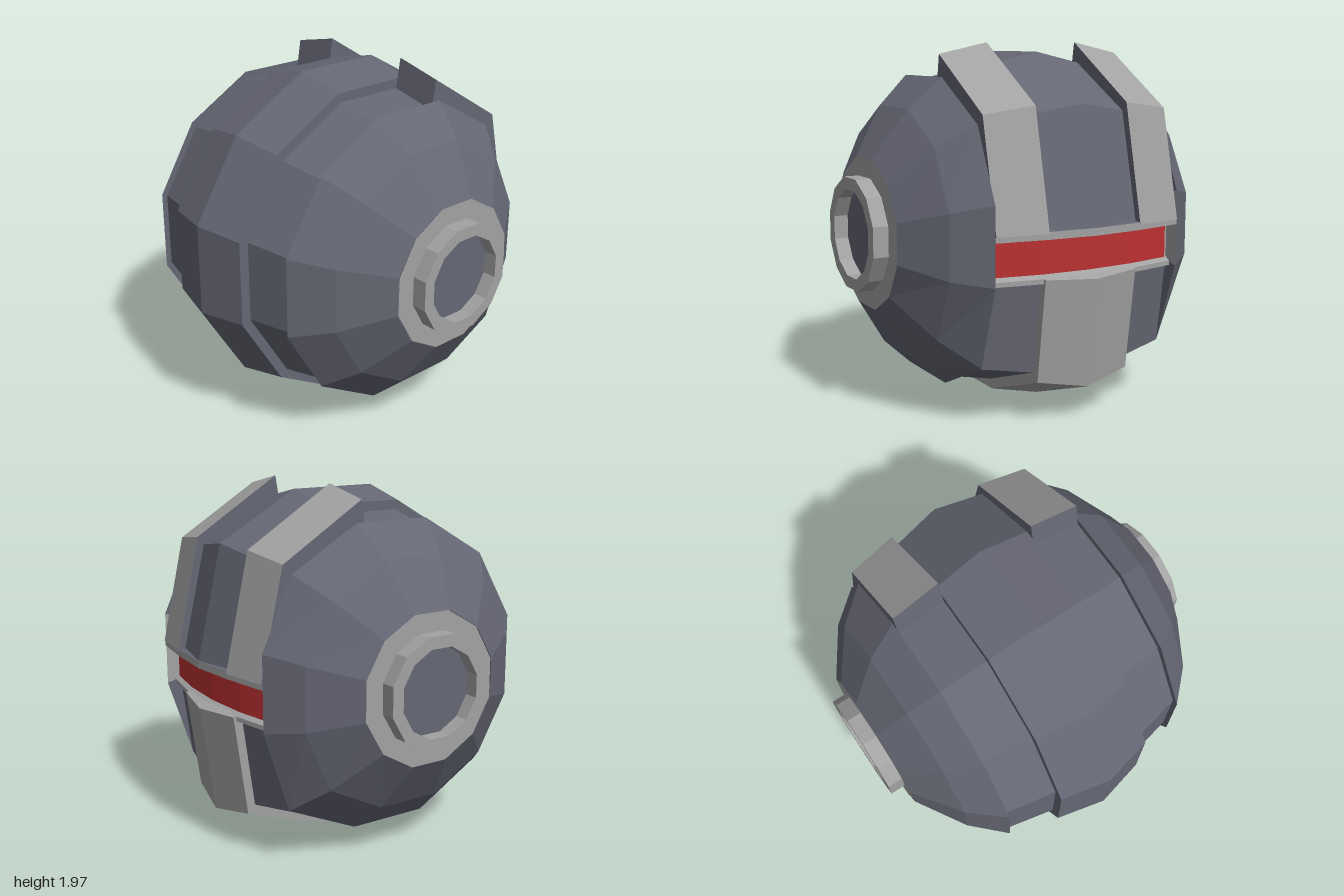
import * as THREE from 'three';

const CZ = -0.06, CY = 0.965; // axis of the round body

// Outline of the centre band [z, y], from the brow over the top and front to the chin
const OUTLINE = [
  [-0.92, 1.02], [-0.77, 1.66], [-0.31, 1.92], [0.2, 1.92], [0.65, 1.66], [0.92, 1.22],
  [0.92, 0.71], [0.65, 0.26], [0.2, 0], [-0.06, 0], [-0.33, 0], [-0.84, 0.18], [-0.92, 0.775],
];
const SIDE_OUTLINE = OUTLINE.filter((p, i) => i !== 9);
SIDE_OUTLINE[0] = [-0.92, 1.22];

const at = (x, pts) => pts.map(([z, y]) => [x, y, z]);

// Outline shrunk towards the axis
const ring = (x, s, table = OUTLINE) =>
  at(x, table.map(([z, y]) => [CZ + s * (z - CZ), CY + s * (y - CY)]));

// Regular twelve-sided ring, blended by k towards the flatter-backed outline
function sideRing(x, r, k) {
  return ring(x, r, SIDE_OUTLINE).map(([px, y, z], i) => {
    const a = THREE.MathUtils.degToRad(165 - 30 * i);
    return [
      px,
      THREE.MathUtils.lerp(CY + r * Math.sin(a), y, k),
      THREE.MathUtils.lerp(CZ + r * Math.cos(a), z, k),
    ];
  });
}

// Faceted skin through rows ordered from -x to +x; pick(row, segment) gives the material index
function skin(name, rows, materials, pick = () => 0, closed = false) {
  const buckets = materials.map(() => []);
  const n = rows[0].length;
  for (let r = 0; r < rows.length - 1; r++) {
    for (let j = 0; j < (closed ? n : n - 1); j++) {
      const k = (j + 1) % n, a = rows[r], b = rows[r + 1];
      buckets[pick(r, j)].push(...a[j], ...a[k], ...b[j], ...b[j], ...a[k], ...b[k]);
    }
  }
  const g = new THREE.BufferGeometry();
  g.setAttribute('position', new THREE.Float32BufferAttribute(buckets.flat(), 3));
  let start = 0;
  buckets.forEach((b, i) => {
    g.addGroup(start, b.length / 3, i);
    start += b.length / 3;
  });
  g.computeVertexNormals();
  const mesh = new THREE.Mesh(g, materials);
  mesh.name = name;
  return mesh;
}

// Mirror rows to the -x side, keeping them ordered from -x to +x
const mirror = (rows) => rows.map((row) => row.map(([x, y, z]) => [-x, y, z])).reverse();

function material(name, color) {
  const m = new THREE.MeshStandardMaterial({ color, flatShading: true, side: THREE.DoubleSide });
  m.name = name;
  return m;
}

export function createModel() {
  const model = new THREE.Group();
  model.name = 'roundHelmet';
  const dark = material('slate', 0x656774);
  const grey = material('grey', 0xa2a2a2);
  const red = material('red', 0xbb3032);
  const both = [dark, grey];

  // Recessed core, grey where it frames the visor
  const core = [[-0.56, 0.82], [-0.28, 0.88], [0, 0.9], [0.28, 0.88], [0.56, 0.82]];
  model.add(skin('core', core.map(([x, s]) => ring(x, s)), both, (r, j) => (j === 12 ? 1 : 0), true));

  // Raised centre band, grey at the chin
  const band = [[-0.28, 0.87], [-0.28, 0.935], [0, 1], [0.28, 0.935], [0.28, 0.87]];
  model.add(skin('centreBand', band.map(([x, s]) => ring(x, s)), both,
    (r, j) => (j >= 10 || (j === 9 && (r === 0 || r === 3)) ? 1 : 0)));

  // Sloping top of the chin
  model.add(skin('chinTop', [[-0.28, -0.864, 0.787], [0, -0.92, 0.775], [0.28, -0.864, 0.787]]
    .map(([x, z, y]) => at(x, [[z, y], [-0.8, 0.81]])), [grey]));

  // Visor, sill below it and brow lip above it
  model.add(skin('visor', [[-0.54, -0.778], [-0.28, -0.825], [0, -0.842], [0.28, -0.825], [0.54, -0.778]]
    .map(([x, z]) => at(x, [[z, 0.81], [z, 1.0]])), [red]));
  model.add(skin('sill', [[-0.56, -0.765], [-0.28, -0.817], [0, -0.834], [0.28, -0.817], [0.56, -0.765]]
    .map(([x, z]) => at(x, [[z, 0.765], [z - 0.03, 0.765], [z - 0.03, 0.79], [z, 0.81]])), [grey]));
  model.add(skin('browLip', [[-0.56, -0.85], [-0.28, -0.895], [0, -0.92], [0.28, -0.895], [0.56, -0.85]]
    .map(([x, z]) => at(x, [[z + 0.1, 1.0], [z, 1.0], [z, 1.04], [z + 0.1, 1.05]])), both,
    (r, j) => (j === 1 ? 1 : 0)));

  // Straps running over the crown down to the brow
  const strap = [
    at(0.28, [[-0.8, 1.03], [-0.68, 1.57], [-0.3, 1.79], [-0.23, 1.79]]),
    at(0.28, [[-0.9, 1.03], [-0.76, 1.66], [-0.26, 1.97], [-0.23, 1.79]]),
    at(0.56, [[-0.855, 1.03], [-0.72, 1.62], [-0.25, 1.91], [-0.22, 1.73]]),
    at(0.56, [[-0.75, 1.03], [-0.64, 1.53], [-0.28, 1.73], [-0.22, 1.73]]),
  ];
  const strapColour = (r, j) => (r === 1 && j < 2 ? 1 : 0);
  model.add(skin('leftStrap', strap, both, strapColour));
  model.add(skin('rightStrap', mirror(strap), both, strapColour));

  // Domed sides with a step down to the core
  const dome = [sideRing(0.56, 0.76, 0.5), sideRing(0.56, 0.86, 0.5),
    sideRing(0.74, 0.69, 0.25), sideRing(0.915, 0.415, 0)];
  model.add(skin('leftDome', dome, both, (r, j) => (r === 0 && j === 11 ? 1 : 0), true));
  model.add(skin('rightDome', mirror(dome), both, (r, j) => (r === 2 && j === 11 ? 1 : 0), true));

  // Ear hubs: flat collar, raised ring and recessed disc
  const profile = [[0.415, 0.915], [0.31, 0.915], [0.31, 1], [0.243, 1], [0.243, 0.92]]
    .map(([r, h]) => new THREE.Vector2(r, h));
  for (const side of [1, -1]) {
    const hub = new THREE.Group();
    hub.name = side > 0 ? 'leftEarHub' : 'rightEarHub';
    const earRing = new THREE.Mesh(new THREE.LatheGeometry(profile, 12, Math.PI / 12), grey);
    earRing.name = 'earRing';
    const disc = new THREE.Mesh(new THREE.CircleGeometry(0.245, 12, Math.PI / 12), dark);
    disc.name = 'earDisc';
    disc.rotation.x = -Math.PI / 2;
    disc.position.y = 0.922;
    hub.add(earRing, disc);
    hub.rotation.z = -side * Math.PI / 2;
    hub.position.set(0, CY, -0.065);
    model.add(hub);
  }
  return model;
}
